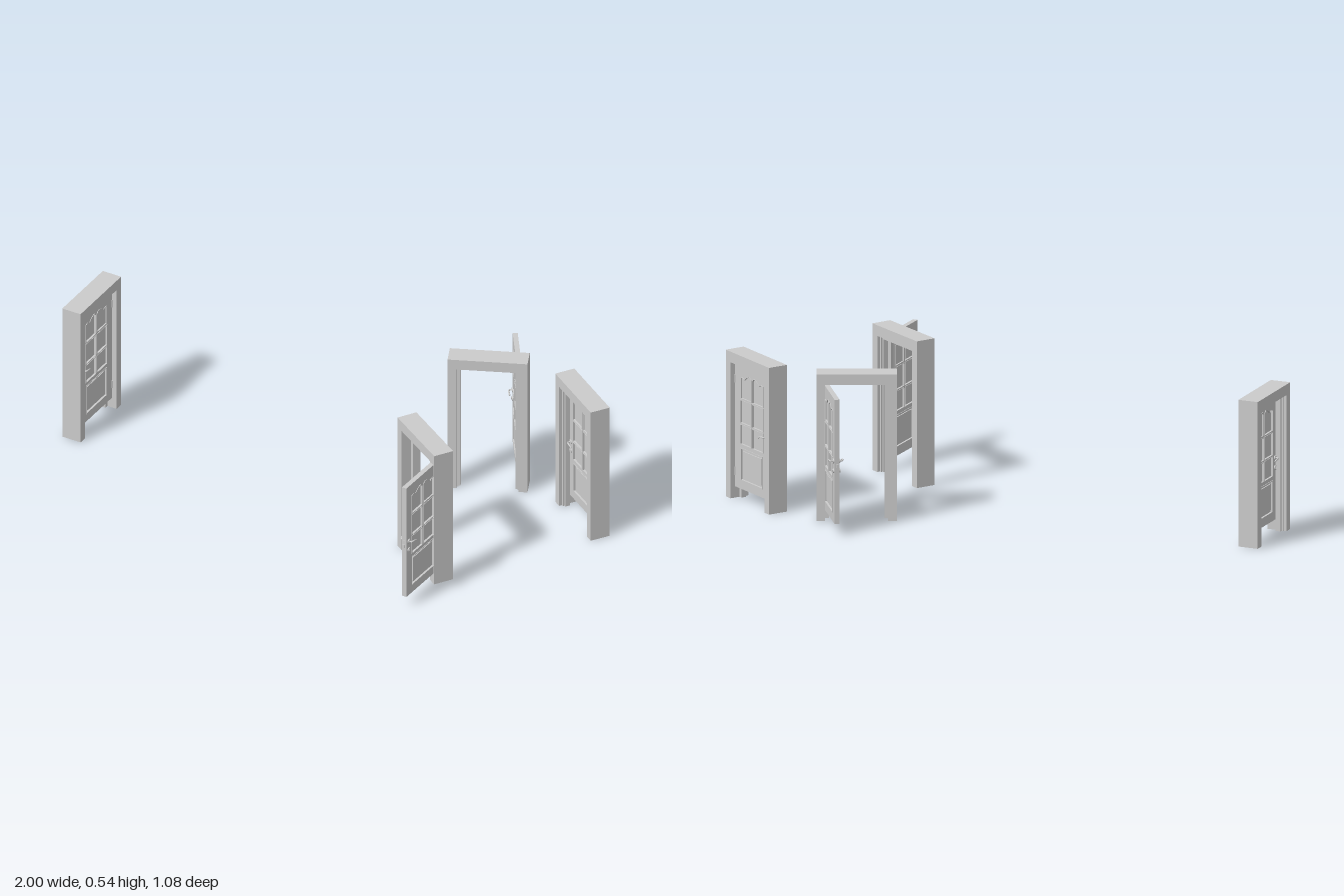
import * as THREE from 'three';

const material = new THREE.MeshStandardMaterial({ color: 0xcccccc, flatShading: true });
const DOOR_W = 0.219, DOOR_H = 0.457, DOOR_T = 0.018;

function add(parent, name, geometry, x = 0, y = 0, z = 0) {
  const mesh = new THREE.Mesh(geometry, material);
  mesh.name = name;
  mesh.position.set(x, y, z);
  parent.add(mesh);
  return mesh;
}

const box = (w, h, d) => new THREE.BoxGeometry(w, h, d);

function extrude(shape, depth) {
  const g = new THREE.ExtrudeGeometry(shape, { depth, bevelEnabled: false, curveSegments: 5 });
  return g.translate(0, 0, -depth / 2);
}

const polygon = (pts) => new THREE.Shape(pts.map(([x, y]) => new THREE.Vector2(x, y)));
const rect = (x0, y0, x1, y1) => polygon([[x0, y0], [x1, y0], [x1, y1], [x0, y1]]);

// Upside-down U used for the casing and the stops
function portal(outX, inX, outY, inY, depth) {
  return extrude(polygon([
    [-outX, 0], [-inX, 0], [-inX, inY], [inX, inY],
    [inX, 0], [outX, 0], [outX, outY], [-outX, outY],
  ]), depth);
}

// Top pane with a scalloped head rising to the middle; side is -1 or 1
function archedPane(side, grow = 0) {
  const a = side * (0.005 - grow), b = side * (0.073 + grow), y = 0.376 - grow;
  const s = new THREE.Shape();
  s.moveTo(a, y);
  s.lineTo(b, y);
  s.lineTo(b, 0.449 + grow);
  s.quadraticCurveTo(side * 0.06, 0.456 + grow, side * 0.049, 0.446 + grow);
  s.quadraticCurveTo(side * 0.032, 0.463 + grow, side * 0.014, 0.464 + grow);
  s.lineTo(a, 0.455 + grow);
  s.closePath();
  return s;
}

function panes(side, grow = 0) {
  const xs = [side * (0.005 - grow), side * (0.073 + grow)].sort((p, q) => p - q);
  return [
    rect(xs[0], 0.208 - grow, xs[1], 0.278 + grow),
    rect(xs[0], 0.286 - grow, xs[1], 0.368 + grow),
    archedPane(side, grow),
  ];
}

// Leaf drawn about its own centre line, handle on the +x edge
function makeLeaf() {
  const leaf = new THREE.Group();
  leaf.name = 'doorLeaf';
  const y0 = 0.042, half = DOOR_W / 2;
  const lowerPanel = rect(-0.07, 0.077, 0.07, 0.19);

  const slab = rect(-half, y0, half, y0 + DOOR_H);
  const openings = [...panes(-1), ...panes(1), lowerPanel];
  slab.holes.push(...openings);
  add(leaf, 'stilesAndRails', extrude(slab, DOOR_T));
  add(leaf, 'paneInfill', box(0.16, 0.275, 0.007), 0, 0.337, 0);
  add(leaf, 'lowerInfill', box(0.15, 0.12, 0.007), 0, 0.1335, 0);

  // Raised mouldings round the panes and the lower panel
  const rims = [...panes(-1, 0.002), ...panes(1, 0.002)];
  rims.forEach((rim, i) => {
    rim.holes.push(openings[i]);
    add(leaf, 'paneMoulding', extrude(rim, DOOR_T + 0.004));
  });
  const lowerRim = rect(-0.073, 0.074, 0.073, 0.193);
  lowerRim.holes.push(lowerPanel);
  add(leaf, 'lowerMoulding', extrude(lowerRim, DOOR_T + 0.004));
  const field = polygon([[-0.062, 0.085], [0.062, 0.085], [0.062, 0.182], [-0.062, 0.182]]);
  add(leaf, 'raisedField', extrude(field, 0.015));

  // Latch, and a handle with two rosettes on each face
  const hx = half - 0.016;
  add(leaf, 'latch', box(0.006, 0.012, 0.007), half + 0.002, 0.255, 0);
  add(leaf, 'latchPlate', box(0.002, 0.045, 0.012), half, 0.255, 0);
  for (const s of [-1, 1]) {
    for (const y of [0.27, 0.234]) {
      const rosette = add(leaf, 'rosette', new THREE.CylinderGeometry(0.008, 0.009, 0.004, 14), hx, y, s * 0.011);
      rosette.rotation.x = s * Math.PI / 2;
    }
    const lever = new THREE.CatmullRomCurve3([
      [hx, 0.27, 0.009], [hx, 0.27, 0.021], [hx - 0.007, 0.271, 0.024],
      [hx - 0.018, 0.269, 0.024], [hx - 0.027, 0.265, 0.023],
    ].map(([x, y, z]) => new THREE.Vector3(x, y, s * z)));
    add(leaf, 'lever', new THREE.TubeGeometry(lever, 14, 0.003, 8));
    add(leaf, 'leverTip', new THREE.SphereGeometry(0.003, 8, 6), hx - 0.027, 0.265, s * 0.023);
    add(leaf, 'keyhole', box(0.003, 0.008, 0.003), hx, 0.234, s * 0.014);
  }
  return leaf;
}

// hinge: 1 puts the hinge on local +x, -1 on local -x; the leaf opens towards local +z
function makeDoorway({ name, x, z, turn, hinge, open }) {
  const doorway = new THREE.Group();
  doorway.name = name;
  doorway.position.set(x, 0, z);
  doorway.rotation.y = THREE.MathUtils.degToRad(turn);

  add(doorway, 'casing', portal(0.1425, 0.1115, 0.54, 0.501, 0.075));
  add(doorway, 'doorStop', portal(0.112, 0.098, 0.502, 0.489, 0.019), 0, 0, -0.0105);
  add(doorway, 'stopBead', portal(0.112, 0.105, 0.502, 0.495, 0.006), 0, 0, -0.023);

  const pivot = new THREE.Group();
  pivot.name = 'hingedLeaf';
  pivot.position.set(hinge * 0.109, 0, 0.01);
  pivot.rotation.y = hinge * THREE.MathUtils.degToRad(open);
  const leaf = makeLeaf();
  leaf.position.x = -hinge * DOOR_W / 2;
  if (hinge > 0) leaf.rotation.y = Math.PI;
  pivot.add(leaf);

  // Hinge knuckles
  for (const y of [0.1, 0.44]) {
    add(pivot, 'hinge', new THREE.CylinderGeometry(0.003, 0.003, 0.03, 8), 0, y, 0.009);
  }
  doorway.add(pivot);
  return doorway;
}

export function createModel() {
  const model = new THREE.Group();
  model.name = 'doorways';
  const layout = [
    { name: 'farDoorway', x: -0.9585, z: 0.083, turn: 91.6, hinge: 1, open: 0 },
    { name: 'frontOpenDoorway', x: 0.535, z: 0.246, turn: -31, hinge: 1, open: 121 },
    { name: 'backOpenDoorway', x: 0.456, z: -0.306, turn: 205.5, hinge: -1, open: 79.6 },
    { name: 'leftDoorway', x: 0.857, z: -0.291, turn: 148, hinge: -1, open: 0 },
  ];
  layout.forEach((d) => model.add(makeDoorway(d)));
  return model;
}
